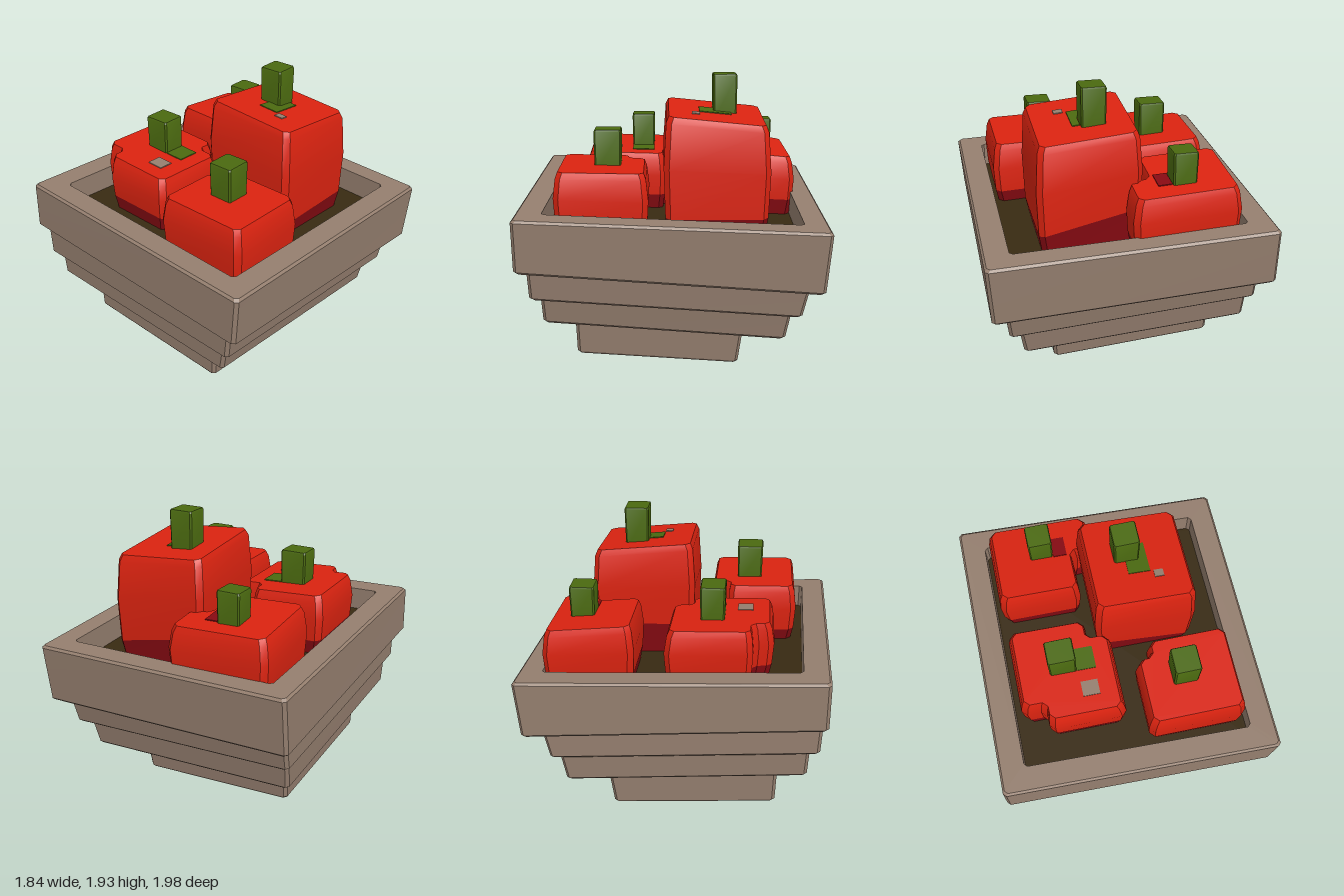
import * as THREE from 'three';
import { toCreasedNormals } from 'three/addons/utils/BufferGeometryUtils.js';

const mat = (name, color) => {
  const m = new THREE.MeshStandardMaterial({ color });
  m.name = name;
  return m;
};

// Footprint rectangle, listed anticlockwise seen from above; skew shears z along x
const rect = (x0, x1, z0, z1, skew = 0) =>
  [[x0, z1], [x1, z1], [x1, z0], [x0, z0]].map(([x, z]) => [x, z + skew * x]);

// Cut each corner of a footprint by distance d
function chamfer(poly, d) {
  const n = poly.length, out = [];
  poly.forEach((p, i) => {
    for (const q of [poly[(i + n - 1) % n], poly[(i + 1) % n]]) {
      const t = d / Math.hypot(q[0] - p[0], q[1] - p[1]);
      out.push([p[0] + (q[0] - p[0]) * t, p[1] + (q[1] - p[1]) * t]);
    }
  });
  return out;
}

// Scale a footprint about the middle of its bounds
function scaled(poly, s) {
  const mid = k => {
    const v = poly.map(p => p[k]);
    return (Math.min(...v) + Math.max(...v)) / 2;
  };
  const cx = mid(0), cz = mid(1);
  return poly.map(([x, z]) => [cx + (x - cx) * s, cz + (z - cz) * s]);
}

// Lift a footprint onto a sloping plane y = c + sx * x + sz * z
const ring = (poly, [c, sx, sz], dy = 0) =>
  poly.map(([x, z]) => new THREE.Vector3(x, c + dy + sx * x + sz * z, z));

// Skin a stack of rings, with optional end caps
function loft(rings, capBottom = true, capTop = true) {
  const tris = [], n = rings[0].length;
  for (let r = 0; r + 1 < rings.length; r++) {
    const a = rings[r], b = rings[r + 1];
    for (let i = 0; i < n; i++) {
      const j = (i + 1) % n;
      tris.push(a[i], a[j], b[j], a[i], b[j], b[i]);
    }
  }
  const cap = (pts, up) => {
    const flat = pts.map(p => new THREE.Vector2(p.x, -p.z));
    for (const [i, j, k] of THREE.ShapeUtils.triangulateShape(flat, []))
      tris.push(...(up ? [pts[i], pts[j], pts[k]] : [pts[i], pts[k], pts[j]]));
  };
  if (capBottom) cap(rings[0], false);
  if (capTop) cap(rings[rings.length - 1], true);
  const g = new THREE.BufferGeometry().setFromPoints(tris);
  return toCreasedNormals(g, 0.5);
}

export function createModel() {
  const stone = mat('stone', 0x957f6f);
  const red = mat('red skin', 0xdb2310);
  const darkRed = mat('dark red', 0x870a12);
  const green = mat('stem green', 0x4b6a10);
  const soilMat = mat('soil', 0x382a12);
  const group = new THREE.Group();
  const add = (name, geometry, material) => {
    const m = new THREE.Mesh(geometry, material);
    m.name = name;
    group.add(m);
  };

  // Foot and two steps of the leaning planter: bottom and top footprints and planes
  const blocks = [
    ['foot', rect(-0.66, 0.44, -0.435, 0.65), [0.06, -0.064, 0.072],
      rect(-0.67, 0.47, -0.48, 0.66), [0.42, -0.055, 0.075]],
    ['lowerStep', rect(-0.81, 0.68, -0.72, 0.84), [0.36, -0.054, 0.08],
      rect(-0.82, 0.72, -0.76, 0.85), [0.6, -0.05, 0.07]],
    ['upperStep', rect(-0.85, 0.78, -0.81, 0.91), [0.55, -0.052, 0.074],
      rect(-0.85, 0.81, -0.86, 0.92), [0.8, -0.05, 0.07]],
  ];
  for (const [name, bottom, low, top, high] of blocks) {
    const b = chamfer(bottom, 0.02);
    add(name, loft([ring(scaled(b, 0.98), low), ring(b, low, 0.015),
      ring(chamfer(top, 0.02), high)]), stone);
  }

  // Hollow rim
  const rimLow = [0.755, -0.05, 0.076], rimHigh = [1.12, -0.04, 0.045];
  const outerLow = chamfer(rect(-0.92, 0.895, -0.95, 0.965, 0.02), 0.02);
  const outerHigh = chamfer(rect(-0.915, 0.92, -0.98, 0.965, 0.022), 0.02);
  const inner = chamfer(rect(-0.75, 0.755, -0.825, 0.8, 0.025), 0.02);
  const soilPlane = [0.96, -0.045, 0.05];
  add('rim', loft([
    ring(scaled(outerLow, 0.985), rimLow), ring(outerLow, rimLow, 0.015),
    ring(outerHigh, rimHigh, -0.015), ring(scaled(outerHigh, 0.985), rimHigh),
    ring(inner, rimHigh), ring(inner, soilPlane, -0.02),
  ], true, false), stone);

  // Soil bed
  add('soil', loft([ring(inner, soilPlane, -0.03), ring(inner, soilPlane)]), soilMat);

  // Blocky fruits: footprint, top plane, dark-base plane, stem box and thin patches
  const fruits = [
    { name: 'largeFruit', foot: rect(-0.125, 0.55, -0.62, 0.065),
      top: [1.735, -0.09, 0.1], split: [1.15, -0.22, 0],
      stem: [0.065, 0.23, -0.42, -0.26, 1.93],
      patches: [['leaf', green, 0.14, 0.28, -0.28, -0.17], ['leafTip', green, 0.23, 0.28, -0.38, -0.28],
        ['paleSpot', stone, 0.3, 0.36, -0.17, -0.12]] },
    { name: 'backFruit',
      foot: [[-0.71, -0.27], [-0.16, -0.27], [-0.16, -0.58], [-0.01, -0.6], [-0.01, -0.85], [-0.71, -0.85]],
      top: [1.41, -0.05, 0.1], split: [1.07, -0.03, 0.05],
      stem: [-0.45, -0.29, -0.71, -0.55, 1.565],
      patches: [['darkSpot', darkRed, -0.29, -0.2, -0.69, -0.55]] },
    { name: 'frontLeftFruit',
      foot: [[-0.7, 0.47], [-0.54, 0.47], [-0.54, 0.6], [-0.03, 0.6], [-0.03, 0.05], [-0.18, 0.05],
        [-0.18, -0.085], [-0.7, -0.085]],
      top: [1.35, -0.06, 0.03], split: [1.06, -0.04, 0.05],
      stem: [-0.475, -0.295, 0.125, 0.285, 1.6],
      patches: [['leaf', green, -0.3, -0.17, 0.13, 0.28], ['paleSpot', stone, -0.29, -0.18, 0.36, 0.46]] },
    { name: 'frontRightFruit',
      foot: [[0.085, 0.75], [0.73, 0.75], [0.73, 0.16], [0.19, 0.16], [0.19, 0.28], [0.085, 0.28]],
      top: [1.375, -0.02, 0.02], split: [1.04, -0.04, 0.05],
      stem: [0.29, 0.46, 0.335, 0.51, 1.6], patches: [] },
  ];
  for (const f of fruits) {
    const foot = chamfer(f.foot, 0.035);
    const mid = f.split.map((v, i) => (v + f.top[i]) / 2);
    add(f.name + 'Base', loft([ring(scaled(foot, 0.9), soilPlane, -0.02),
      ring(scaled(foot, 0.97), f.split)], true, false), darkRed);
    add(f.name + 'Body', loft([ring(scaled(foot, 0.97), f.split), ring(foot, mid),
      ring(scaled(foot, 0.95), f.top, -0.04), ring(scaled(foot, 0.9), f.top)], false), red);

    // Slightly leaning stem
    const [x0, x1, z0, z1, y] = f.stem;
    const s = chamfer(rect(x0, x1, z0, z1), 0.01);
    add(f.name + 'Stem', loft([ring(scaled(s, 0.95), f.top, -0.04), ring(s, [y - 0.012, 0, 0]),
      ring(scaled(s, 0.94), [y, 0, 0])]), green);

    // Thin patches lying on the top
    for (const [part, material, a, b, c, d] of f.patches) {
      const p = rect(a, b, c, d);
      add(f.name + part, loft([ring(p, f.top, -0.002), ring(p, f.top, 0.006)]), material);
    }
  }
  return group;
}
